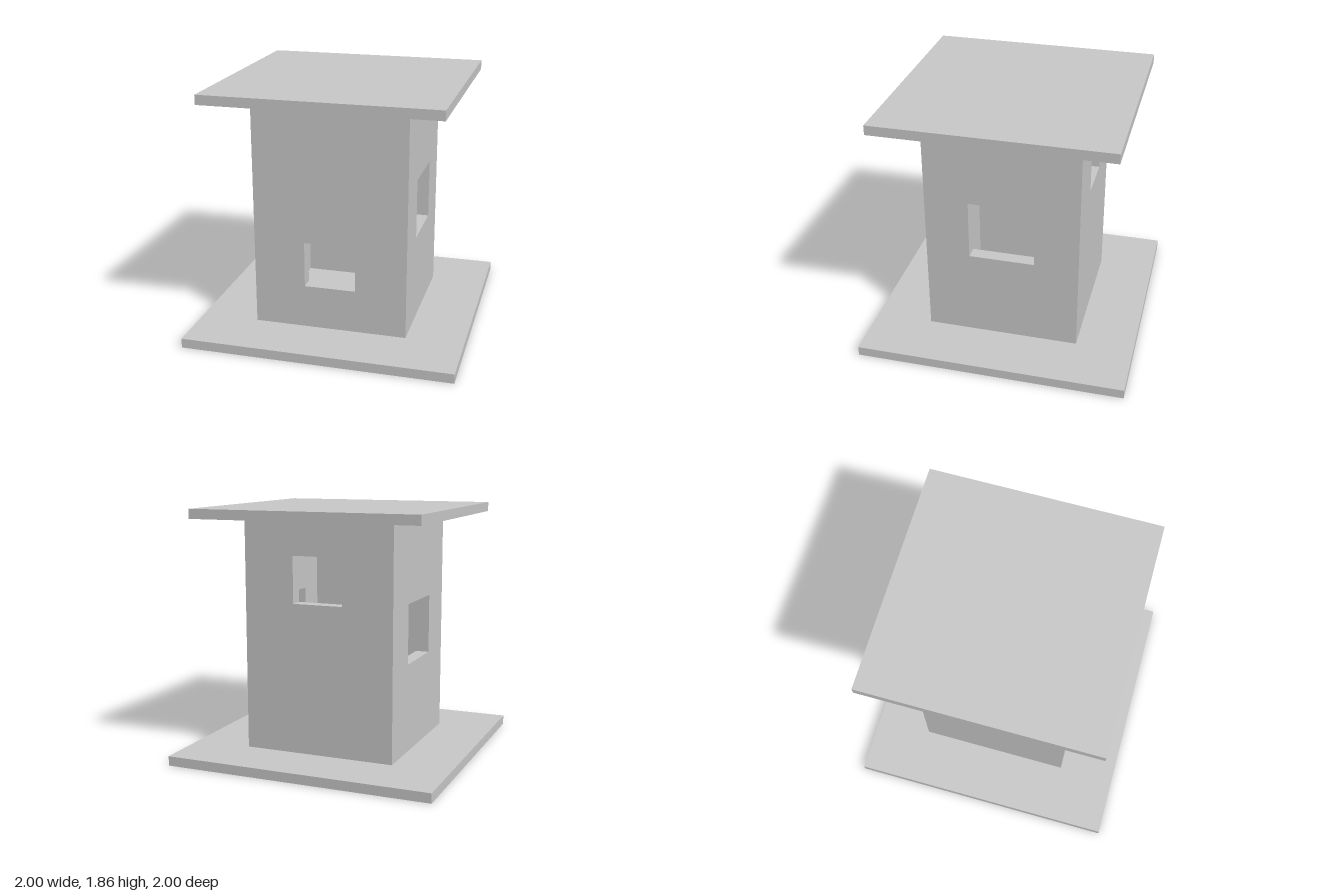
import * as THREE from 'three';

const WALL = 0.571;      // half width of the tower
const THICK = 0.1;       // wall thickness
const FLOOR = 0.071;     // top of the base
const CEILING = 1.786;   // underside of the roof

function rect(path, halfWidth, bottom, top) {
  path.moveTo(-halfWidth, bottom);
  path.lineTo(halfWidth, bottom);
  path.lineTo(halfWidth, top);
  path.lineTo(-halfWidth, top);
  path.closePath();
  return path;
}

export function createModel() {
  const group = new THREE.Group();
  const grey = new THREE.MeshStandardMaterial({ color: 0xc8c8c8 });
  grey.name = 'light grey';

  // Square slab standing on the given height
  function slab(name, width, bottom, height) {
    const mesh = new THREE.Mesh(new THREE.BoxGeometry(width, height, width), grey);
    mesh.name = name;
    mesh.position.y = bottom + height / 2;
    group.add(mesh);
  }

  // Wall panel with one rectangular window, turned to its side of the tower
  function wall(name, angle, halfWidth, windowHalf, windowBottom, windowTop) {
    const shape = rect(new THREE.Shape(), halfWidth, FLOOR, CEILING);
    shape.holes.push(rect(new THREE.Path(), windowHalf, windowBottom, windowTop));
    const geometry = new THREE.ExtrudeGeometry(shape, { depth: THICK, bevelEnabled: false });
    geometry.translate(0, 0, WALL - THICK);
    const mesh = new THREE.Mesh(geometry, grey);
    mesh.name = name;
    mesh.rotation.y = angle;
    group.add(mesh);
  }

  slab('base', 2, 0, FLOOR);
  slab('roof', 1.716, CEILING, 0.071);

  // Front and back span the full width; the side walls fit between them
  wall('frontWall', 0, WALL, 0.19, 0.395, 0.736);
  wall('backWall', Math.PI, WALL, 0.19, 1.18, 1.525);
  wall('leftWall', Math.PI / 2, WALL - THICK, 0.244, 0.731, 1.176);
  wall('rightWall', -Math.PI / 2, WALL - THICK, 0.244, 0.731, 1.176);

  return group;
}
